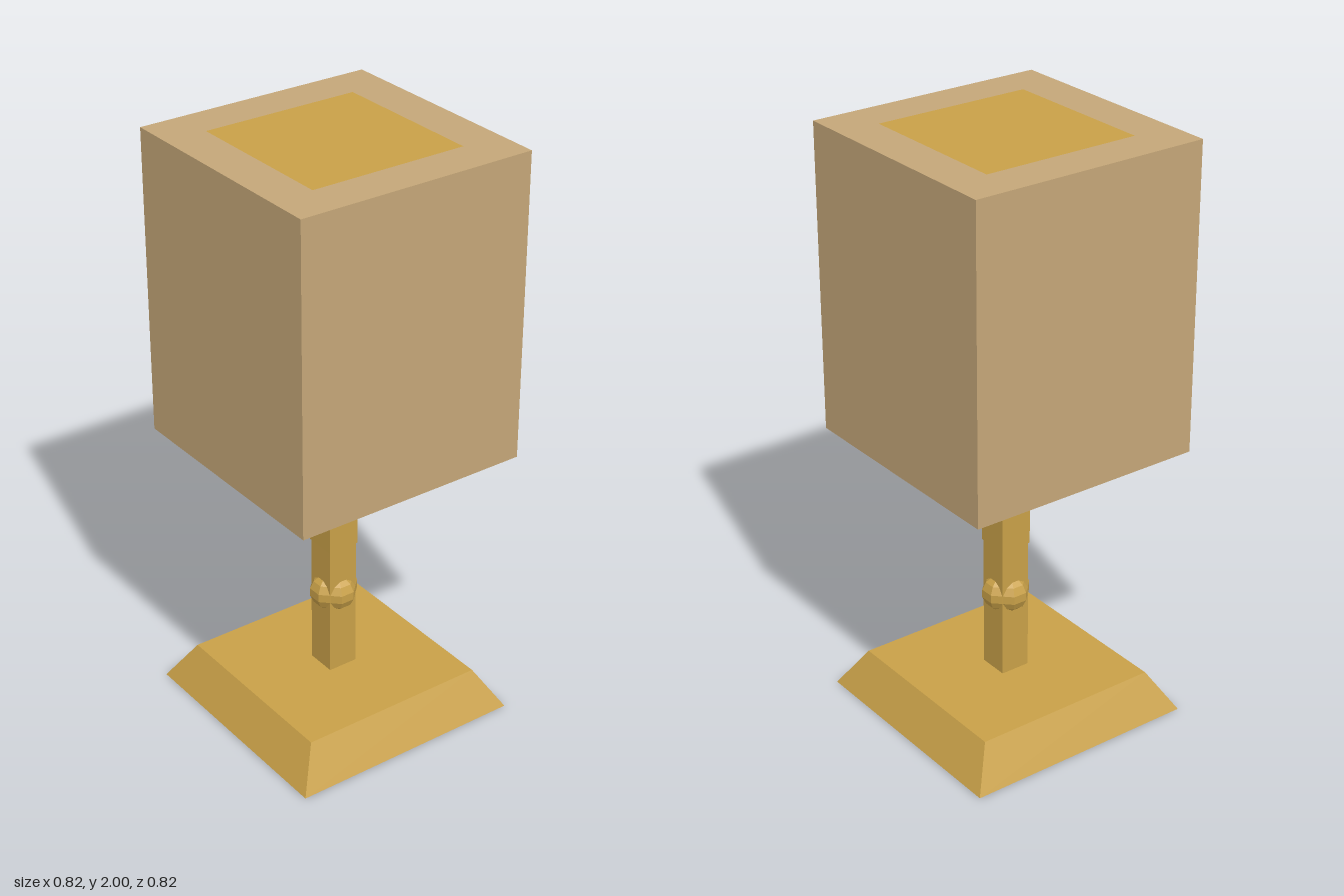
import * as THREE from 'three';

const brass = new THREE.MeshStandardMaterial({ color: 0xc8a048, flatShading: true });
const fabric = new THREE.MeshStandardMaterial({ color: 0xc4a678, flatShading: true });
const felt = new THREE.MeshStandardMaterial({ color: 0x443830, flatShading: true });

function add(parent, name, geometry, material, y = 0) {
  const mesh = new THREE.Mesh(geometry, material);
  mesh.name = name;
  mesh.position.y = y;
  parent.add(mesh);
  return mesh;
}

// Square column from y0 to y1 whose half width goes from h0 to h1
function squareTaper(y0, y1, h0, h1) {
  const g = new THREE.BoxGeometry(2, y1 - y0, 2);
  g.translate(0, (y0 + y1) / 2, 0);
  const p = g.attributes.position;
  for (let i = 0; i < p.count; i++) {
    const h = p.getY(i) > (y0 + y1) / 2 ? h1 : h0;
    p.setXYZ(i, p.getX(i) * h, p.getY(i), p.getZ(i) * h);
  }
  g.computeVertexNormals();
  return g;
}

function squarePoints(h) {
  return [[-h, -h], [h, -h], [h, h], [-h, h]].map(([x, y]) => new THREE.Vector2(x, y));
}

export function createModel() {
  const lamp = new THREE.Group();
  lamp.name = 'tableLamp';

  // Sloped foot with a felt pad under it
  add(lamp, 'base', squareTaper(0, 0.135, 0.41, 0.33), brass);
  const pad = add(lamp, 'basePad', new THREE.PlaneGeometry(0.63, 0.63), felt, -0.0005);
  pad.rotation.x = Math.PI / 2;

  // Stem, slightly thicker above
  add(lamp, 'lowerStem', squareTaper(0.135, 0.6, 0.052, 0.052), brass);
  add(lamp, 'upperStem', squareTaper(0.6, 1.02, 0.055, 0.058), brass);

  // Four faceted beads, one on each side of the stem
  const beads = new THREE.Group();
  beads.name = 'stemBeads';
  const beadGeometry = new THREE.SphereGeometry(0.064, 8, 7);
  beadGeometry.rotateY(Math.PI / 8);
  for (let i = 0; i < 4; i++) {
    const a = (i * Math.PI) / 2;
    const bead = add(beads, 'bead', beadGeometry, brass, 0.418);
    bead.position.x = Math.sin(a) * 0.021;
    bead.position.z = Math.cos(a) * 0.021;
    bead.rotation.y = a;
  }
  lamp.add(beads);

  // Box shade with a square opening through it
  const outline = new THREE.Shape(squarePoints(0.411));
  outline.holes.push(new THREE.Path(squarePoints(0.27).reverse()));
  const shadeGeometry = new THREE.ExtrudeGeometry(outline, { depth: 1.03, bevelEnabled: false });
  shadeGeometry.rotateX(-Math.PI / 2);
  add(lamp, 'shade', shadeGeometry, fabric, 0.97);

  // Core filling the opening: flush on top, recessed below
  add(lamp, 'shadeCore', squareTaper(1.01, 2, 0.27, 0.27), brass);

  return lamp;
}
